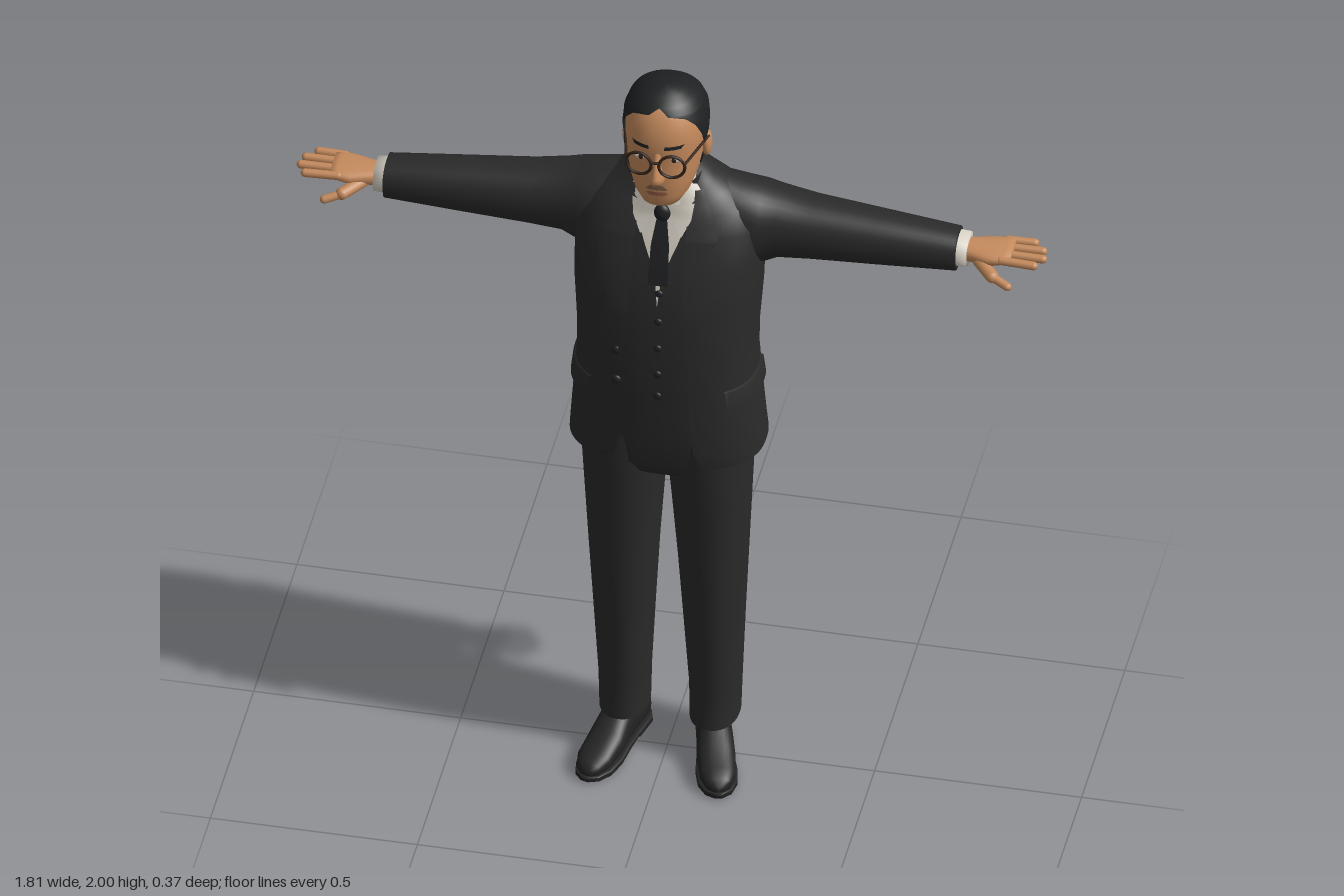
import * as THREE from 'three';
import { mergeVertices } from 'three/addons/utils/BufferGeometryUtils.js';

const mat = (name, color, side = THREE.DoubleSide) => {
  const m = new THREE.MeshStandardMaterial({ color, side });
  m.name = name;
  return m;
};

function grid(rows, cols, point) {
  const pos = [], idx = [];
  for (let i = 0; i <= rows; i++) for (let j = 0; j <= cols; j++) pos.push(...point(i, j));
  for (let i = 0; i < rows; i++) for (let j = 0; j < cols; j++) {
    const a = i * (cols + 1) + j, d = a + cols + 1;
    idx.push(a, a + 1, d + 1, a, d + 1, d);
  }
  let g = new THREE.BufferGeometry();
  g.setAttribute('position', new THREE.Float32BufferAttribute(pos, 3));
  g.setIndex(idx);
  g = mergeVertices(g, 1e-5);
  g.computeVertexNormals();
  return g;
}

// Rows are [y, half width, z front, z back, start angle, end angle, centre x]; angle 0 is the front.
function loft(rows, n = 2, cols = 48) {
  const pw = v => Math.sign(v) * Math.pow(Math.abs(v), 2 / n);
  return grid(rows.length - 1, cols, (i, j) => {
    const [y, w, zf, zb, t0 = 0, t1 = 2 * Math.PI - t0, cx = 0] = rows[i];
    const t = t0 + (t1 - t0) * (j === cols && t0 === 0 && t1 > 6.2 ? 0 : j / cols);
    return [cx + w * pw(Math.sin(t)), y, (zf + zb) / 2 + (zf - zb) / 2 * pw(Math.cos(t))];
  });
}

// Front depth of a loft at x, y.
function frontZ(rows, n, x, y) {
  let k = 0;
  while (k < rows.length - 2 && y > rows[k + 1][0]) k++;
  const a = rows[k], b = rows[k + 1], f = (y - a[0]) / (b[0] - a[0]);
  const [w, zf, zb] = [1, 2, 3].map(q => a[q] + (b[q] - a[q]) * f);
  return (zf + zb) / 2 + (zf - zb) / 2 * Math.pow(Math.max(0, 1 - Math.pow(Math.abs(x / w), n)), 1 / n);
}

// Thin panel lying on the front of a loft; outline rows are [y, x0, x1].
function panel(rows, n, outline, lift = 0.006) {
  const sub = 4, count = (outline.length - 1) * sub;
  return grid(count, 8, (i, j) => {
    const k = Math.min(Math.floor(i / sub), outline.length - 2), f = i / sub - k;
    const [y, x0, x1] = outline[k].map((v, q) => v + (outline[k + 1][q] - v) * f);
    const x = x0 + (x1 - x0) * j / 8;
    return [x, y, frontZ(rows, n, x, y) + lift];
  });
}

function rod(a, b, r) {
  const A = new THREE.Vector3(...a), B = new THREE.Vector3(...b), d = B.clone().sub(A);
  const g = new THREE.CapsuleGeometry(r, d.length(), 4, 10);
  g.applyQuaternion(new THREE.Quaternion().setFromUnitVectors(new THREE.Vector3(0, 1, 0), d.normalize()));
  return g.translate(...A.add(B).multiplyScalar(0.5).toArray());
}

const ball = (p, s) => new THREE.SphereGeometry(1, 20, 14).scale(...s).translate(...p);

function mirror(g) {
  const m = g.clone().applyMatrix4(new THREE.Matrix4().makeScale(-1, 1, 1)), ix = m.index.array;
  for (let i = 0; i < ix.length; i += 3) [ix[i], ix[i + 1]] = [ix[i + 1], ix[i]];
  return m;
}

export function createModel() {
  const root = new THREE.Group();
  const suit = mat('suit black', 0x2a2a2a), hair = mat('hair black', 0x1f2122), skin = mat('skin', 0xc68b5d);
  const shirt = mat('shirt white', 0xd6d0c4), tie = mat('tie black', 0x202124), shoe = mat('shoe black', 0x232323);
  const frame = mat('glasses brown', 0x33241a), lip = mat('lip', 0x9c6248), white = mat('eye white', 0xd8cfc2);
  const moustacheMat = mat('moustache brown', 0x806048);
  const add = (name, g, m) => {
    const mesh = new THREE.Mesh(g, m);
    mesh.name = name;
    root.add(mesh);
  };
  const pair = (name, g, m) => { add(name + 'Left', g, m); add(name + 'Right', mirror(g), m); };

  // Jacket, open at the front; the fifth number is the half opening
  const N = 2.5;
  const jacket = [
    [0.94, 0.235, 0.143, -0.18, 0.13], [0.955, 0.234, 0.146, -0.18, 0.105], [0.99, 0.231, 0.15, -0.178, 0.092],
    [1.08, 0.224, 0.152, -0.172, 0.083], [1.2, 0.215, 0.152, -0.168, 0.08], [1.27, 0.215, 0.149, -0.17, 0.078],
    [1.4, 0.224, 0.138, -0.18, 0.07], [1.5, 0.226, 0.112, -0.175, 0.065], [1.58, 0.222, 0.08, -0.162, 0.065],
    [1.63, 0.195, 0.052, -0.15, 0.068], [1.665, 0.15, 0.03, -0.138, 0.07], [1.695, 0.105, 0.018, -0.125, 0.07],
    [1.73, 0.075, 0.01, -0.108, 0.06]];
  add('jacket', loft(jacket.map(([y, w, f, b, g]) => [y, w, f, b, Math.asin(Math.pow(g / w, N / 2))]), N, 72), suit);
  pair('lapel', panel(jacket, N, [[1.27, 0.075, 0.084], [1.4, 0.067, 0.115], [1.54, 0.061, 0.152],
    [1.56, 0.061, 0.122], [1.58, 0.061, 0.138], [1.64, 0.06, 0.115], [1.685, 0.058, 0.09]], 0.009), suit);
  pair('pocketFlap', loft([[1.115, 0.23, 0.16, -0.18, 0.75, 1.75], [1.165, 0.224, 0.158, -0.175, 0.75, 1.75],
    [1.168, 0.214, 0.15, -0.168, 0.75, 1.75]], N, 16), suit);
  add('breastPocket', panel(jacket, N, [[1.44, 0.125, 0.18], [1.462, 0.125, 0.18]], 0.006), suit);
  add('backVent', new THREE.BoxGeometry(0.005, 0.2, 0.008).translate(0, 1.04, -0.175), tie);
  const jacketCollar = loft([[1.655, 0.108, 0.03, -0.13, 0.8], [1.712, 0.08, 0.042, -0.106, 0.8]]);
  const shear = new THREE.Matrix4().set(1, 0, 0, 0, 0, 1, -0.3, 0, 0, 0, 1, 0, 0, 0, 0, 1);
  add('jacketCollar', jacketCollar.applyMatrix4(shear), suit);

  // Shirt, waistcoat and tie
  const shirtRows = [[1.4, 0.2, 0.118, -0.15], [1.5, 0.2, 0.096, -0.15], [1.58, 0.185, 0.07, -0.14],
    [1.63, 0.15, 0.052, -0.125], [1.67, 0.1, 0.047, -0.11], [1.7, 0.07, 0.045, -0.09]];
  add('shirt', loft(shirtRows, N), shirt);
  add('shirtCollar', loft([[1.66, 0.08, 0.058, -0.094], [1.725, 0.068, 0.05, -0.09]]).applyMatrix4(shear), shirt);
  pair('collarWing', panel(shirtRows, N, [[1.585, 0.045, 0.05], [1.625, 0.028, 0.07], [1.665, 0.012, 0.075]], 0.014), shirt);
  const vest = [[1.11, 0.2, 0.135, -0.15, 0], [1.2, 0.2, 0.138, -0.15, 0], [1.3, 0.2, 0.134, -0.15, 0],
    [1.4, 0.205, 0.126, -0.16, 0], [1.48, 0.205, 0.108, -0.155, 0.008], [1.56, 0.19, 0.082, -0.145, 0.04],
    [1.63, 0.155, 0.058, -0.13, 0.065]];
  add('waistcoat', loft(vest.map(([y, w, f, b, g]) => [y, w, f, b, Math.asin(Math.pow(g / w, N / 2))]), N), suit);
  pair('waistcoatPoint', panel(vest, N, [[1.075, 0.035, 0.045], [1.11, 0.004, 0.085], [1.16, 0.0, 0.09]], 0.004), suit);
  add('tieBlade', panel(shirtRows, N, [[1.46, -0.024, 0.024], [1.56, -0.022, 0.022], [1.62, -0.013, 0.013]], 0.012), tie);
  add('tieKnot', ball([0, 1.638, 0.062], [0.02, 0.024, 0.014]), tie);
  [1.44, 1.365, 1.29, 1.215, 1.15].forEach((y, i) =>
    add('waistcoatButton' + (i + 1), ball([0.005, y, frontZ(vest, N, 0, y) + 0.004], [0.01, 0.01, 0.006]), tie));
  [1.275, 1.19].forEach((y, i) =>
    add('jacketButton' + (i + 1), ball([-0.093, y, frontZ(jacket, N, 0.093, y) + 0.004], [0.012, 0.012, 0.007]), tie));

  // Sleeves, cuffs and hands, lofted along x
  const along = (rows, n) => loft(rows.map(([x, y0, y1, z0, z1]) =>
    [x, (y1 - y0) / 2, z1, z0, 0, 2 * Math.PI, -(y0 + y1) / 2]), n, 32).rotateZ(-Math.PI / 2);
  pair('sleeve', along([[0.1, 1.46, 1.685, -0.14, 0.01], [0.17, 1.44, 1.668, -0.155, 0.03], [0.22, 1.45, 1.655, -0.16, 0.022],
    [0.26, 1.468, 1.643, -0.155, 0.01], [0.34, 1.477, 1.631, -0.145, 0.008], [0.5, 1.486, 1.618, -0.13, 0.002],
    [0.69, 1.496, 1.6, -0.115, -0.008], [0.692, 1.505, 1.592, -0.108, -0.014], [0.692, 1.55, 1.55, -0.06, -0.06]], 2.2), suit);
  pair('cuff', along([[0.68, 1.508, 1.592, -0.108, -0.015], [0.716, 1.511, 1.588, -0.107, -0.016],
    [0.716, 1.55, 1.55, -0.06, -0.06]], 2.2), shirt);
  pair('palm', along([[0.7, 1.525, 1.572, -0.095, -0.03], [0.73, 1.527, 1.572, -0.1, -0.025], [0.77, 1.53, 1.572, -0.112, -0.012],
    [0.805, 1.54, 1.572, -0.113, -0.014], [0.82, 1.545, 1.57, -0.108, -0.02], [0.825, 1.557, 1.557, -0.06, -0.06]], 2.4), skin);
  [[-0.105, -0.108, 0.865], [-0.078, -0.08, 0.89], [-0.05, -0.05, 0.896], [-0.023, -0.02, 0.88]].forEach(([z0, z1, x], i) =>
    pair('finger' + (i + 1), rod([0.8, 1.557, z0], [x, 1.556, z1], 0.0105), skin));
  pair('thumbBase', rod([0.745, 1.54, -0.035], [0.785, 1.528, 0.005], 0.016), skin);
  pair('thumb', rod([0.785, 1.527, 0.005], [0.825, 1.517, 0.022], 0.0105), skin);

  // Trousers
  add('trouserSeat', loft([[0.87, 0.03, 0.05, -0.06], [0.885, 0.13, 0.1, -0.115], [0.92, 0.19, 0.115, -0.135],
    [1.02, 0.2, 0.125, -0.145], [1.15, 0.195, 0.125, -0.14]], N), suit);
  pair('trouserLeg', loft([[0.1, 0.05, 0.168, 0.055, -0.12], [0.2, 0.048, 0.171, 0.052, -0.122], [0.4, 0.037, 0.18, 0.075, -0.126],
    [0.6, 0.025, 0.19, 0.093, -0.128], [0.8, 0.01, 0.2, 0.108, -0.13], [0.88, 0.003, 0.204, 0.114, -0.132],
    [1.0, 0.0, 0.204, 0.118, -0.135]].map(([y, x0, x1, zf, zb]) =>
    [y, (x1 - x0) / 2, zf, zb, 0, 2 * Math.PI, (x0 + x1) / 2]), 2.2), suit);

  // Shoes, lofted heel to toe as [length, half width, bottom, top] and turned outward
  const shoePart = (rows, n) => loft(rows.map(([s, w, y0, y1]) => [s, w, -y0, -y1]), n, 32)
    .rotateX(Math.PI / 2).rotateY(0.26).translate(0.085, 0, -0.105);
  pair('shoe', shoePart([[0, 0, 0.04, 0.04], [0.001, 0.025, 0.01, 0.07], [0.02, 0.036, 0.01, 0.105], [0.09, 0.04, 0.01, 0.125],
    [0.14, 0.043, 0.01, 0.11], [0.19, 0.046, 0.01, 0.078], [0.25, 0.043, 0.01, 0.06], [0.28, 0.031, 0.01, 0.047],
    [0.293, 0.015, 0.012, 0.035], [0.296, 0, 0.02, 0.02]], 2.4), shoe);
  pair('sole', shoePart([[-0.004, 0, 0, 0.02], [-0.003, 0.026, 0, 0.02], [0.02, 0.04, 0, 0.02], [0.085, 0.041, 0, 0.02],
    [0.09, 0.041, 0.008, 0.02], [0.14, 0.044, 0.004, 0.02], [0.2, 0.05, 0, 0.018], [0.25, 0.047, 0, 0.018],
    [0.285, 0.032, 0.002, 0.018], [0.3, 0.012, 0.004, 0.018], [0.302, 0, 0.01, 0.012]], 6), shoe);

  // Head
  const H = 2.2;
  const head = [[1.683, 0, 0.07, 0.07], [1.688, 0.032, 0.1, 0.03], [1.7, 0.05, 0.115, 0.0], [1.725, 0.067, 0.123, -0.03],
    [1.76, 0.08, 0.127, -0.065], [1.8, 0.088, 0.127, -0.083], [1.845, 0.092, 0.124, -0.092], [1.87, 0.094, 0.13, -0.094],
    [1.91, 0.094, 0.123, -0.093], [1.945, 0.085, 0.11, -0.08], [1.97, 0.068, 0.088, -0.055], [1.985, 0.045, 0.065, -0.02],
    [1.992, 0, 0.03, 0.03]];
  add('head', loft(head, H), skin);
  add('neck', loft([[1.64, 0.064, 0.045, -0.085], [1.7, 0.062, 0.048, -0.085], [1.79, 0.068, 0.06, -0.085]]), skin);
  add('hair', loft([[1.745, 0.073, 0.08, -0.086, 2.45], [1.785, 0.088, 0.11, -0.092, 2.1], [1.825, 0.097, 0.124, -0.1, 1.75],
    [1.85, 0.099, 0.13, -0.103, 1.35], [1.89, 0.102, 0.134, -0.104, 1.2], [1.925, 0.099, 0.126, -0.098, 1.0],
    [1.95, 0.09, 0.117, -0.085, 0.75], [1.96, 0.084, 0.11, -0.076, 0.25], [1.975, 0.07, 0.095, -0.055, 0],
    [1.99, 0.047, 0.073, -0.02, 0], [1.998, 0.02, 0.05, 0.01, 0], [2.0, 0, 0.03, 0.03, 0]], H), hair);
  add('nose', loft([[1.778, 0, 0.125, 0.125], [1.78, 0.014, 0.145, 0.1], [1.79, 0.02, 0.156, 0.1], [1.803, 0.016, 0.156, 0.1],
    [1.83, 0.01, 0.144, 0.1], [1.865, 0.012, 0.13, 0.1]]), skin);
  pair('ear', ball([0.096, 1.82, 0.002], [0.012, 0.036, 0.021]), skin);

  // Face details and glasses
  add('mouth', panel(head, H, [[1.738, -0.015, 0.015], [1.744, -0.027, 0.027], [1.75, -0.02, 0.02]], 0.003), lip);
  add('moustache', panel(head, H, [[1.757, -0.028, 0.028], [1.772, -0.014, 0.014]], 0.004), moustacheMat);
  const ez = frontZ(head, H, 0.04, 1.845);
  pair('eye', ball([0.04, 1.843, ez], [0.015, 0.008, 0.004]), white);
  pair('iris', ball([0.04, 1.843, ez + 0.003], [0.006, 0.007, 0.003]), frame);
  pair('eyebrow', panel(head, H, [[1.878, 0.018, 0.056], [1.887, 0.02, 0.064]], 0.004), hair);
  pair('glassesRim', new THREE.TorusGeometry(0.031, 0.0038, 8, 32).rotateY(0.12).translate(0.04, 1.842, 0.143), frame);
  pair('glassesTemple', rod([0.071, 1.852, 0.138], [0.101, 1.845, 0.01], 0.0035), frame);
  add('glassesBridge', rod([-0.011, 1.85, 0.147], [0.011, 1.85, 0.147], 0.0035), frame);
  return root;
}
